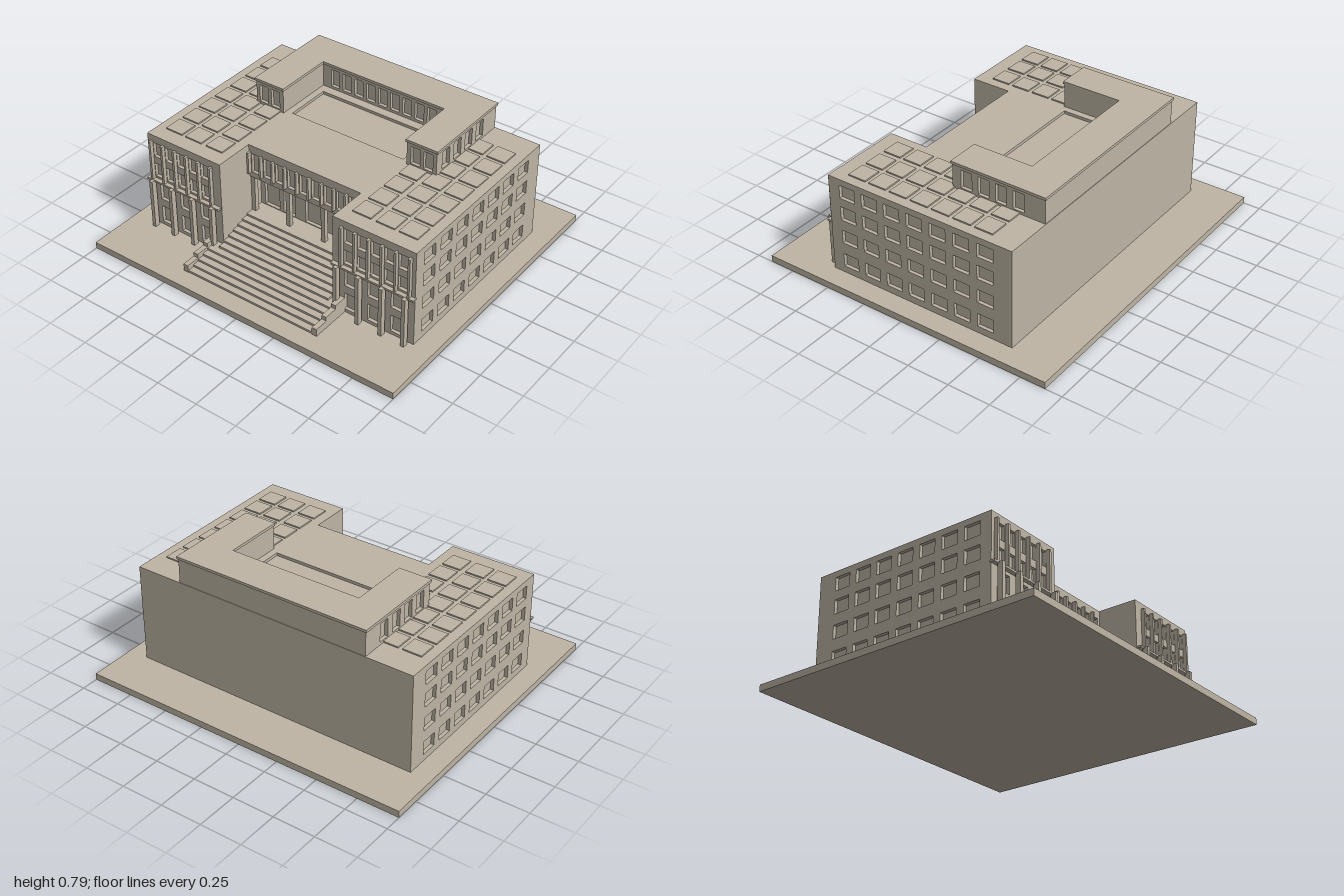
import * as THREE from 'three';

const stone = new THREE.MeshStandardMaterial({ color: 0xbeb5a5 });
stone.name = 'warm stone';

function add(parent, name, geometry) {
  const mesh = new THREE.Mesh(geometry, stone);
  mesh.name = name;
  parent.add(mesh);
  return mesh;
}

// box given by its limits on each axis
function block(parent, name, x0, x1, y0, y1, z0, z1) {
  const mesh = add(parent, name, new THREE.BoxGeometry(x1 - x0, y1 - y0, z1 - z0));
  mesh.position.set((x0 + x1) / 2, (y0 + y1) / 2, (z0 + z1) / 2);
  return mesh;
}

function rectangle(Kind, x0, x1, y0, y1) {
  return new Kind([[x0, y0], [x1, y0], [x1, y1], [x0, y1]].map(p => new THREE.Vector2(...p)));
}

// thin wall facing +z, with openings; its outer face lies at local z = 0
const DEPTH = 0.02;
function wall(parent, name, x0, x1, y0, y1, openings) {
  const shape = rectangle(THREE.Shape, x0, x1, y0, y1);
  openings.forEach(o => shape.holes.push(rectangle(THREE.Path, ...o)));
  const geometry = new THREE.ExtrudeGeometry(shape, { depth: DEPTH, bevelEnabled: false });
  return add(parent, name, geometry.translate(0, 0, -DEPTH));
}

// openings of one width at every centre, for every [bottom, top] row
function grid(centres, width, rows) {
  return rows.flatMap(([b, t]) => centres.map(c => [c - width / 2, c + width / 2, b, t]));
}

const series = (n, start, step) => Array.from({ length: n }, (_, i) => start + i * step);

// plan outline as [x, z] points, extruded upward
function plan(parent, name, points, y0, y1, hole) {
  const shape = new THREE.Shape(points.map(([x, z]) => new THREE.Vector2(x, -z)));
  if (hole) shape.holes.push(hole);
  const geometry = new THREE.ExtrudeGeometry(shape, { depth: y1 - y0, bevelEnabled: false });
  return add(parent, name, geometry.rotateX(-Math.PI / 2).translate(0, y0, 0));
}

// U outline open to the front
const uPlan = (outer, inner, back, notch, front) => [
  [-outer, back], [-outer, front], [-inner, front], [-inner, notch],
  [inner, notch], [inner, front], [outer, front], [outer, back],
];

function mainBody(g) {
  plan(g, 'mainCore', uPlan(0.86, 0.37, -0.617, 0.2, 0.53), 0.04, 0.61);
  const pit = rectangle(THREE.Path, -0.37, 0.37, 0.07, 0.35);
  plan(g, 'roofSlab', uPlan(0.88, 0.37, -0.617, 0.31, 0.55), 0.61, 0.627, pit);
  const sideRows = [[0.08, 0.16], [0.23, 0.31], [0.375, 0.458], [0.51, 0.59]];
  for (const s of [-1, 1]) {
    const centres = series(7, -0.453, 0.147).map(z => -s * z);
    const ends = [0.617 * s, -0.55 * s].sort((a, b) => a - b);
    const side = wall(g, 'sideWall', ends[0], ends[1], 0.04, 0.61, grid(centres, 0.1, sideRows));
    side.rotation.y = s * Math.PI / 2;
    side.position.x = s * 0.88;

    // front of each wing: three bays below, five above
    const openings = [
      ...grid([0.485, 0.63, 0.775].map(x => s * x), 0.076, [[0.06, 0.165], [0.215, 0.315]]),
      ...grid(series(5, 0.473, 0.084).map(x => s * x), 0.064, [[0.36, 0.445], [0.49, 0.58]]),
    ];
    const xs = [0.37 * s, 0.86 * s].sort((a, b) => a - b);
    wall(g, 'wingFront', xs[0], xs[1], 0.04, 0.61, openings).position.z = 0.55;
    const ledge = [0.375 * s, 0.885 * s].sort((a, b) => a - b);
    block(g, 'wingLedge', ledge[0], ledge[1], 0.335, 0.347, 0.545, 0.575);
    for (const x of [0.415, 0.555, 0.7, 0.84]) {
      block(g, 'wingPillar', s * x - 0.011, s * x + 0.011, 0.04, 0.345, 0.565, 0.597);
    }
    for (const x of series(6, 0.431, 0.084)) {
      block(g, 'wingFin', s * x - 0.007, s * x + 0.007, 0.347, 0.59, 0.545, 0.572);
    }
    // low tiles on the wing roof
    for (const x of [0.485, 0.63, 0.767]) {
      for (const z of series(7, 0.405, -0.135)) {
        if (x < 0.6 && z < 0) continue;
        block(g, 'roofTile', s * x - 0.056, s * x + 0.056, 0.62, 0.635, z - 0.055, z + 0.055);
      }
    }
  }
}

function entrance(g) {
  const doors = [[-0.34, -0.24], [-0.21, -0.13], [-0.06, 0.06], [0.13, 0.21], [0.24, 0.34]];
  wall(g, 'doorWall', -0.37, 0.37, 0.18, 0.42, doors.map(d => [...d, 0.195, 0.375])).position.z = 0.22;
  block(g, 'upperHall', -0.37, 0.37, 0.42, 0.61, 0.2, 0.29);
  wall(g, 'upperFacade', -0.37, 0.37, 0.42, 0.61,
    grid(series(9, -0.324, 0.081), 0.056, [[0.455, 0.575]])).position.z = 0.31;
  for (const x of series(9, -0.363, 0.081)) {
    block(g, 'facadeFin', x - 0.006, x + 0.006, 0.45, 0.585, 0.305, 0.333);
  }
  for (const x of [-0.357, -0.118, 0.118, 0.357]) {
    block(g, 'porchColumn', x - 0.013, x + 0.013, 0.18, 0.42, 0.275, 0.302);
  }
  // twelve steps, wider where they leave the recess
  for (let k = 0; k < 12; k++) {
    const half = k < 5 ? 0.42 : 0.37;
    block(g, 'step', -half, half, 0.04, 0.04 + 0.0125 * (k + 1), k < 5 ? 0.55 : 0.2, 0.79 - 0.04 * k);
  }
  for (const s of [-1, 1]) {
    for (const [front, top] of [[0.793, 0.085], [0.71, 0.11], [0.63, 0.133]]) {
      block(g, 'stairCheek', s * 0.433 - 0.015, s * 0.433 + 0.015, 0.04, top, 0.55, front);
    }
  }
}

function penthouse(g) {
  const base = 0.62, top = 0.77, rows = [[0.643, 0.75]];
  plan(g, 'penthouseCore', uPlan(0.577, 0.41, -0.614, -0.424, -0.062), base, top);
  plan(g, 'penthouseCap', uPlan(0.605, 0.405, -0.62, -0.398, -0.036), top, 0.786);
  wall(g, 'penthouseFront', -0.41, 0.41, base, top,
    grid(series(9, -0.324, 0.081), 0.058, rows)).position.z = -0.404;
  for (const s of [-1, 1]) {
    const xs = [0.41 * s, 0.577 * s].sort((a, b) => a - b);
    wall(g, 'penthouseWingFront', xs[0], xs[1], base, top,
      grid([0.465 * s, 0.545 * s], 0.058, rows)).position.z = -0.042;
    const ends = [0.614 * s, 0.042 * s].sort((a, b) => a - b);
    const side = wall(g, 'penthouseSide', ends[0], ends[1], base, top,
      grid(series(4, 0.13, 0.108).map(z => s * z), 0.068, rows));
    side.rotation.y = s * Math.PI / 2;
    side.position.x = s * 0.597;
  }
}

export function createModel() {
  const model = new THREE.Group();
  model.name = 'civicBuilding';
  block(model, 'groundPlinth', -1, 1, 0, 0.04, -0.9, 0.9);
  for (const [name, build] of [['mainBody', mainBody], ['entrance', entrance], ['penthouse', penthouse]]) {
    const group = new THREE.Group();
    group.name = name;
    build(group);
    model.add(group);
  }
  return model;
}
